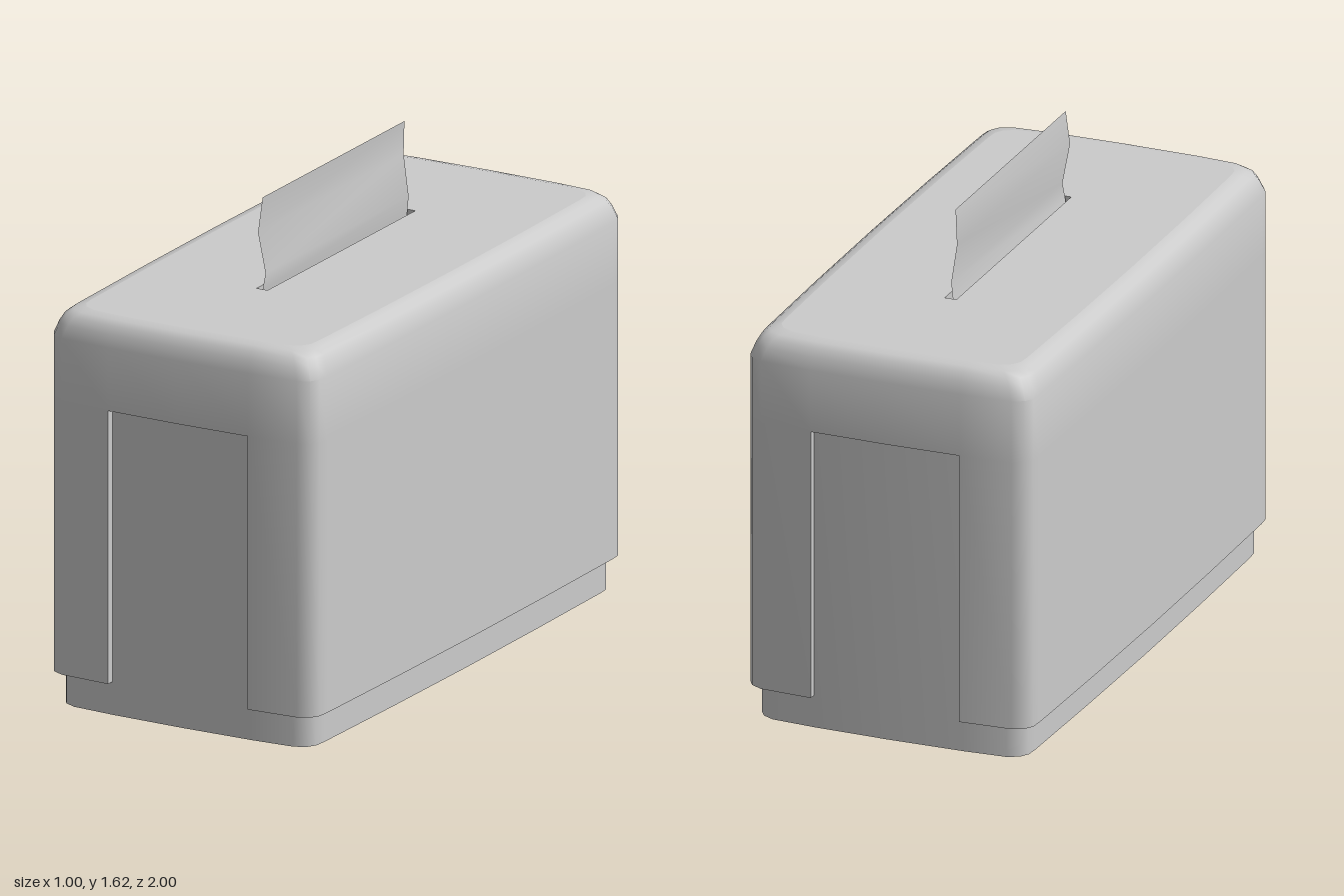
import * as THREE from 'three';
import { toCreasedNormals } from 'three/addons/utils/BufferGeometryUtils.js';

// One quarter of the gently bowed plan outline, as [x, z]
const QUARTER = [[0.5, 0], [0.497, 0.45], [0.49, 0.9], [0.486, 0.94], [0.468, 0.968], [0.43, 0.987], [0.255, 0.996], [0, 1]];
const NOTCH_TOP = 1.03, SHELL_BOTTOM = 0.12, TOP = 1.326, WALL = 0.028;
const SLOT_X = 0.02, SLOT_Z = 0.465;

// Full outline, mirrored from the quarter and moved inwards by d
function outline(d) {
  const q = QUARTER.map(([x, z]) => [x > 0.3 ? x - d : x, z > 0.8 ? z - d : z]);
  const r = [...q].reverse();
  return [
    ...q.slice(0, -1),
    ...r.slice(0, -1).map(([x, z]) => [-x, z]),
    ...q.slice(0, -1).map(([x, z]) => [-x, -z]),
    ...r.slice(0, -1).map(([x, z]) => [x, -z]),
  ];
}
const ringAt = (d, y, sx = 1, sz = 1) => outline(d).map(([x, z]) => [x * sx, y, z * sz]);

// A segment of the outline lies in an end notch when both its ends do
const inNotch = ([x, z]) => Math.abs(x) < 0.26 && Math.abs(z) > 0.9;
const PLAN = outline(0);
const notched = (i) => inNotch(PLAN[i]) && inNotch(PLAN[(i + 1) % PLAN.length]);

// Quad with its front on the side from which a, b, c, d run anticlockwise
const quad = (out, a, b, c, d) => out.push(...a, ...b, ...c, ...a, ...c, ...d);

// Joins two rings; the skip test leaves out segments
function band(out, low, high, skip = () => false) {
  low.forEach((a, i) => {
    const j = (i + 1) % low.length;
    if (!skip(i)) quad(out, a, high[i], high[j], low[j]);
  });
}

function geometryFrom(positions) {
  const g = new THREE.BufferGeometry();
  g.setAttribute('position', new THREE.Float32BufferAttribute(positions, 3));
  return toCreasedNormals(g, 0.65);
}

export function createModel() {
  const group = new THREE.Group();
  const material = new THREE.MeshStandardMaterial({ color: 0xcccccc });
  const doubleSided = new THREE.MeshStandardMaterial({ color: 0xcccccc, side: THREE.DoubleSide });
  const add = (name, geometry, mat = material) => {
    const mesh = new THREE.Mesh(geometry, mat);
    mesh.name = name;
    group.add(mesh);
    return mesh;
  };

  // Outer cover: upright walls with end notches, then a rounded shoulder
  const levels = [
    [0, SHELL_BOTTOM], [0, NOTCH_TOP], [0, 1.24], [0.014, 1.28],
    [0.027, 1.305], [0.046, 1.32], [0.075, TOP],
  ];
  const cover = [];
  for (let k = 0; k < levels.length - 1; k++) {
    band(cover, ringAt(...levels[k]), ringAt(...levels[k + 1]), k === 0 ? notched : undefined);
  }
  add('cover', geometryFrom(cover));

  // Cover top with the dispensing slot
  const topShape = new THREE.Shape(outline(0.075).map(([x, z]) => new THREE.Vector2(x, z)));
  topShape.holes.push(new THREE.Path([[-1, -1], [-1, 1], [1, 1], [1, -1]]
    .map(([x, z]) => new THREE.Vector2(x * SLOT_X, z * SLOT_Z))));
  add('coverTop', new THREE.ShapeGeometry(topShape).rotateX(-Math.PI / 2)).position.y = TOP;

  // Slot walls, seen from inside
  const slot = add('slot', new THREE.BoxGeometry(SLOT_X * 2, 0.12, SLOT_Z * 2),
    new THREE.MeshStandardMaterial({ color: 0xcccccc, side: THREE.BackSide }));
  slot.position.y = TOP - 0.06;

  // Thickness of the cover: lower lip, notch heads and notch sides
  const edges = [];
  band(edges, ringAt(WALL, SHELL_BOTTOM), ringAt(0, SHELL_BOTTOM), notched);
  band(edges, ringAt(WALL, NOTCH_TOP), ringAt(0, NOTCH_TOP), (i) => !notched(i));
  const inner = outline(WALL);
  PLAN.forEach(([x, z], i) => {
    if (!inNotch([x, z]) || x === 0) return;
    const [u, w] = inner[i];
    quad(edges, [x, SHELL_BOTTOM, z], [x, NOTCH_TOP, z], [u, NOTCH_TOP, w], [u, SHELL_BOTTOM, w]);
  });
  add('coverEdges', geometryFrom(edges), doubleSided);

  // Inner container with a very slightly bellied underside
  const base = [];
  const foot = ringAt(WALL, 0.01);
  const belly = ringAt(WALL, 0, 0.2, 0.6);
  band(base, foot, ringAt(WALL, 1.1));
  band(base, belly, foot);
  belly.forEach((a, i) => base.push(...a, ...belly[(i + 1) % belly.length], 0, 0, 0));
  add('container', geometryFrom(base), doubleSided);

  // Sheet standing out of the slot: [x, y, half width]
  const profile = [
    [-0.012, 1.22, 0.455], [-0.004, 1.32, 0.455], [0.004, 1.375, 0.45],
    [-0.019, 1.51, 0.458], [-0.009, 1.625, 0.446],
  ];
  const sheet = [];
  for (let k = 0; k < profile.length - 1; k++) {
    const [x0, y0, w0] = profile[k], [x1, y1, w1] = profile[k + 1];
    quad(sheet, [x0, y0, w0], [x0, y0, -w0], [x1, y1, -w1], [x1, y1, w1]);
  }
  add('sheet', geometryFrom(sheet), doubleSided);

  return group;
}
